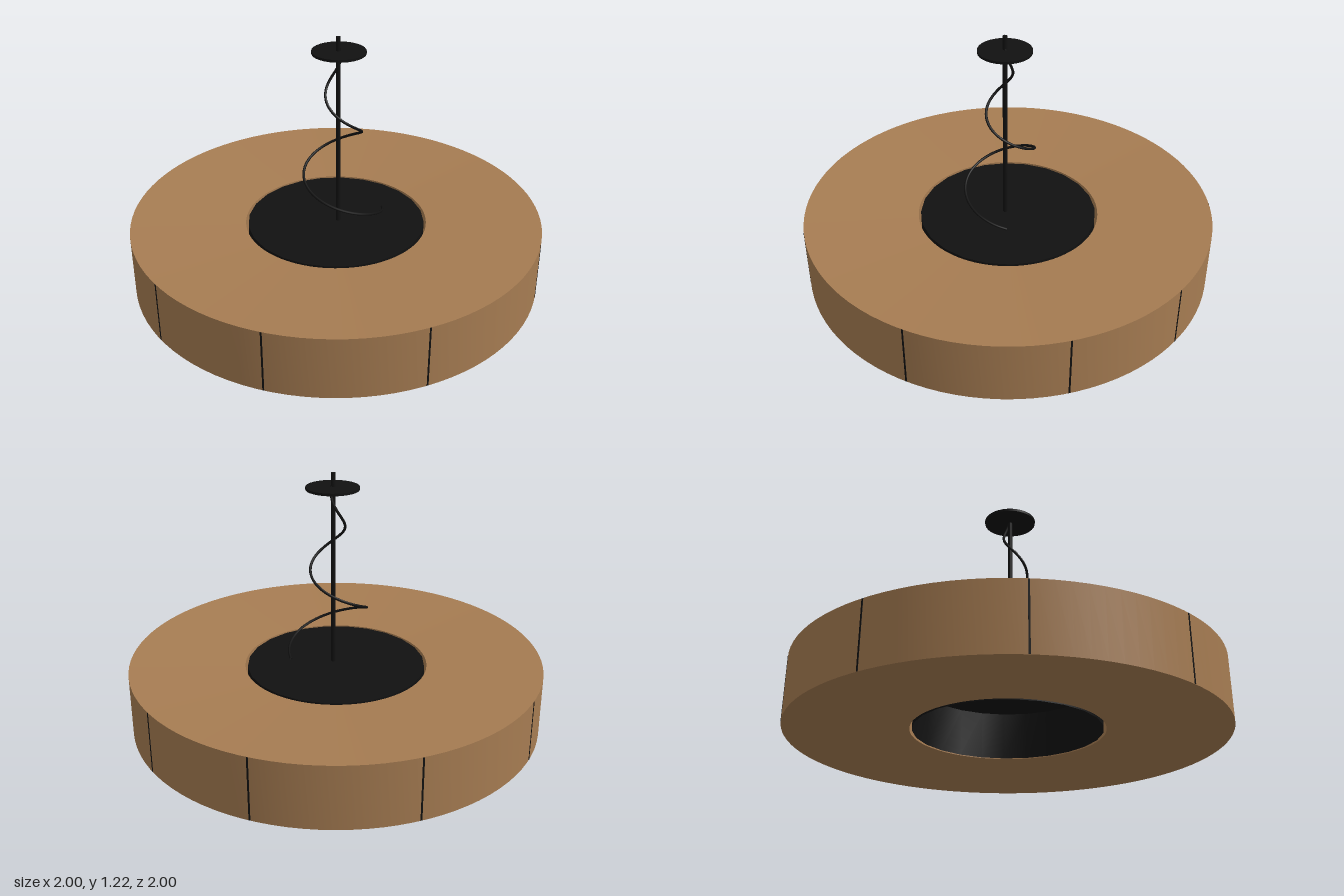
import * as THREE from 'three';
import { toCreasedNormals } from 'three/addons/utils/BufferGeometryUtils.js';

export function createModel() {
  const group = new THREE.Group();
  const wood = new THREE.MeshStandardMaterial({ color: 0xa67c52 });
  const black = new THREE.MeshStandardMaterial({ color: 0x111111 });
  const blackThin = new THREE.MeshStandardMaterial({ color: 0x111111, side: THREE.DoubleSide });

  const add = (name, geometry, material, x = 0, y = 0, z = 0) => {
    const mesh = new THREE.Mesh(geometry, material);
    mesh.name = name;
    mesh.position.set(x, y, z);
    group.add(mesh);
    return mesh;
  };
  const lathe = (pts, sides) => toCreasedNormals(
    new THREE.LatheGeometry(pts.map(([r, y]) => new THREE.Vector2(r, y)), sides), 0.5);

  // Wooden ring, thinning slightly towards the central hole
  add('woodRing', lathe([[0.445, 0.036], [1, 0], [1, 0.3], [0.445, 0.265], [0.445, 0.036]], 96), wood);

  // Narrow joints between the staves of the outer wall
  for (const degrees of [12, 62, 103, 137, 178, 219, 257, 298, 332]) {
    const a = THREE.MathUtils.degToRad(degrees);
    const joint = add('staveJoint', new THREE.BoxGeometry(0.008, 0.298, 0.006), black,
      0.998 * Math.sin(a), 0.15, 0.998 * Math.cos(a));
    joint.rotation.y = a;
  }

  // Cup filling the hole, closed on top and open underneath
  add('centreCup', lathe([[0.434, 0.036], [0.434, 0.265], [0, 0.265]], 24), blackThin);

  // Pole with a small round plate near its top
  const cx = 0.008, cz = 0.014;
  add('pole', new THREE.CylinderGeometry(0.011, 0.011, 0.95, 12), black, cx, 0.74, cz);
  add('topPlate', new THREE.CylinderGeometry(0.126, 0.126, 0.012, 32), black, cx + 0.003, 1.143, cz);

  // Wire winding twice around the pole and narrowing upwards
  const points = [];
  for (let i = 0; i <= 64; i++) {
    const t = i / 64, a = t * Math.PI * 4, r = 0.222 - 0.216 * t;
    points.push(new THREE.Vector3(cx + r * Math.cos(a), 0.315 + 0.84 * t, cz + r * Math.sin(a)));
  }
  add('spiralWire', new THREE.TubeGeometry(new THREE.CatmullRomCurve3(points), 160, 0.0065, 8), blackThin);

  return group;
}
